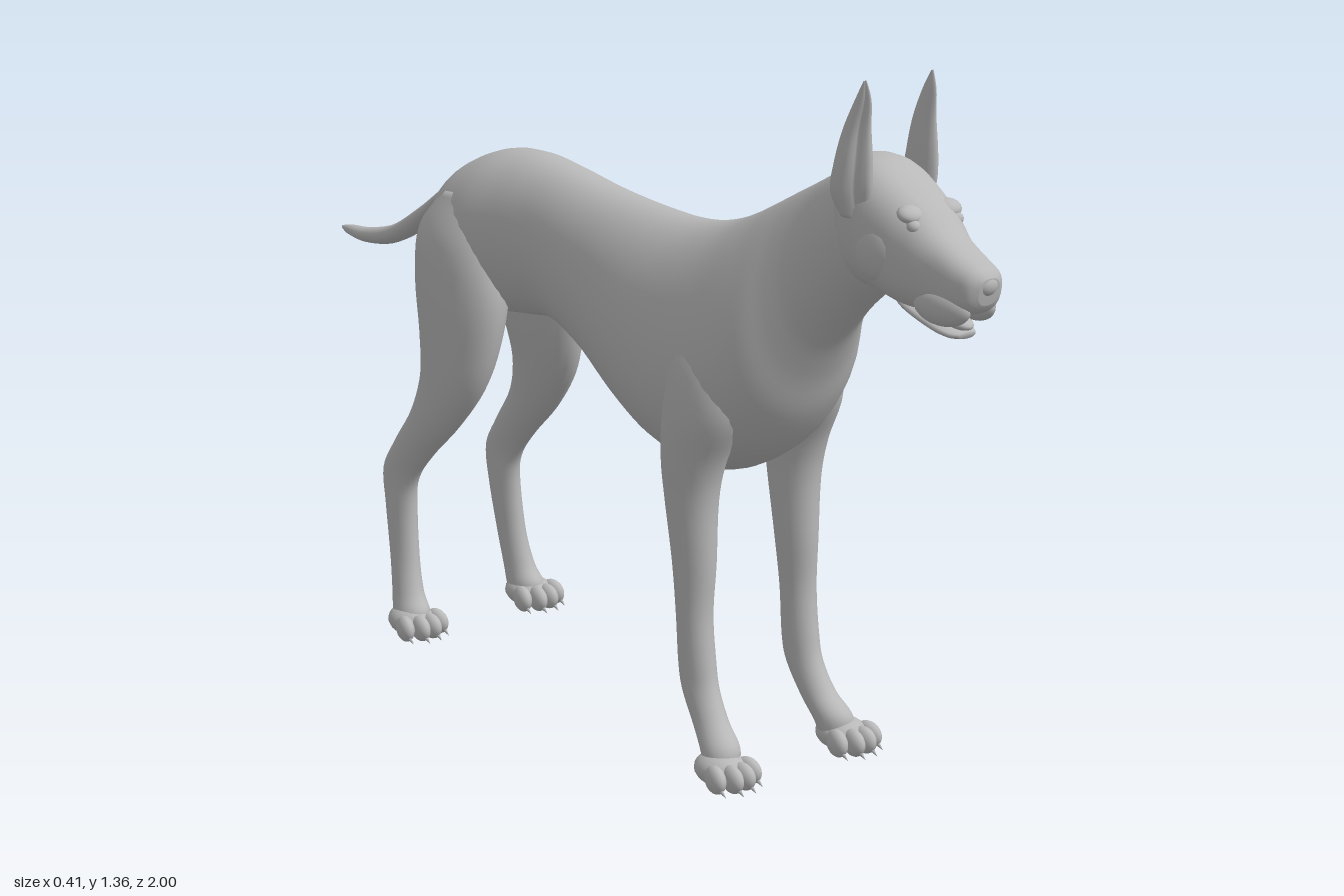
import * as THREE from 'three';

const coat = new THREE.MeshStandardMaterial({ color: 0xb8b8b8 });
coat.name = 'plain grey';

// Smooth skin through oblique oval sections.
// Section: [z, y of one edge, z, y of opposite edge, centre x, half width, skew]
// Positive skew narrows the first edge; square < 1 makes the oval boxier; dent hollows one side.
function loft(name, sections, { side = 1, n = 28, sub = 5, square = 1, dent = 0, dentAngle = 0 } = {}) {
  const at = (i, k) => sections[Math.min(Math.max(i, 0), sections.length - 1)][k] ?? 0;
  const pos = [], idx = [];
  const rows = (sections.length - 1) * sub + 1;
  const pow = v => Math.sign(v) * Math.abs(v) ** square;
  for (let r = 0; r < rows; r++) {
    const i = Math.min(Math.floor(r / sub), sections.length - 2), t = r / sub - i;
    const [za, ya, zb, yb, cx, w, skew] = [0, 1, 2, 3, 4, 5, 6].map(k => {
      const p0 = at(i - 1, k), p1 = at(i, k), p2 = at(i + 1, k), p3 = at(i + 2, k);
      return 0.5 * (2 * p1 + (p2 - p0) * t + (2 * p0 - 5 * p1 + 4 * p2 - p3) * t * t
        + (3 * p1 - p0 - 3 * p2 + p3) * t * t * t);
    });
    for (let j = 0; j < n; j++) {
      const a = j / n * Math.PI * 2;
      const d = 1 - dent * Math.max(0, Math.cos(a - dentAngle)) ** 3;
      const c = pow(Math.cos(a)) * d, s = pow(Math.sin(a)) * d;
      pos.push(side * (cx + w * s * (1 - skew * c)),
        (ya + yb) / 2 + (ya - yb) / 2 * c, (za + zb) / 2 + (za - zb) / 2 * c);
    }
  }
  for (let r = 0; r < rows - 1; r++) for (let j = 0; j < n; j++) {
    const a = r * n + j, b = r * n + (j + 1) % n;
    idx.push(a, b, a + n, b, b + n, a + n);
  }
  // End caps
  for (const [row, flip] of [[0, true], [rows - 1, false]]) {
    const c = pos.length / 3, mid = [0, 0, 0];
    for (let j = 0; j < n; j++) for (let k = 0; k < 3; k++) mid[k] += pos[(row * n + j) * 3 + k] / n;
    pos.push(...mid);
    for (let j = 0; j < n; j++) {
      const a = row * n + j, b = row * n + (j + 1) % n;
      idx.push(...(flip ? [b, a, c] : [a, b, c]));
    }
  }
  // Turn the faces outward whichever way the sections run
  const v = i => new THREE.Vector3().fromArray(pos, i * 3);
  let volume = 0;
  for (let i = 0; i < idx.length; i += 3) volume += v(idx[i]).dot(v(idx[i + 1]).cross(v(idx[i + 2])));
  if (volume < 0) idx.reverse();
  const g = new THREE.BufferGeometry();
  g.setAttribute('position', new THREE.Float32BufferAttribute(pos, 3));
  g.setIndex(idx);
  g.computeVertexNormals();
  const m = new THREE.Mesh(g, coat);
  m.name = name;
  return m;
}

function ball(name, x, y, z, rx, ry, rz, tiltX = 0, tiltY = 0) {
  const m = new THREE.Mesh(new THREE.SphereGeometry(1, 20, 14), coat);
  m.position.set(x, y, z);
  m.scale.set(rx, ry, rz);
  m.rotation.set(tiltX, tiltY, 0);
  m.name = name;
  return m;
}

// Paw with four toes and claws; z is the middle of the pad
function paw(name, side, x, z) {
  const g = new THREE.Group();
  g.name = name;
  g.add(ball('pad', side * x, 0.032, z, 0.046, 0.032, 0.055));
  for (let i = 0; i < 4; i++) {
    const u = i - 1.5, reach = Math.abs(u) > 1 ? 0.033 : 0.05;
    const tx = side * x + u * 0.026;
    g.add(ball('toe', tx, 0.029, z + reach, 0.0165, 0.026, 0.03, 0.15, u * 0.12));
    const claw = new THREE.Mesh(new THREE.ConeGeometry(0.007, 0.028, 8), coat);
    claw.position.set(tx + u * 0.003, 0.013, z + reach + 0.025);
    claw.rotation.x = 2.1;
    claw.name = 'claw';
    g.add(claw);
  }
  return g;
}

export function createModel() {
  const dog = new THREE.Group();
  dog.name = 'dog';

  // Trunk and neck: back edge, belly edge
  dog.add(loft('body', [
    [-0.555, 0.88, -0.555, 0.80, 0, 0.02], [-0.543, 0.94, -0.545, 0.74, 0, 0.085],
    [-0.50, 0.985, -0.50, 0.70, 0, 0.125], [-0.40, 1.028, -0.40, 0.70, 0, 0.135],
    [-0.30, 1.04, -0.30, 0.712, 0, 0.12], [-0.20, 1.033, -0.20, 0.72, 0, 0.108],
    [-0.05, 1.013, -0.07, 0.677, 0, 0.117, 0.05], [0.10, 1.003, 0.08, 0.597, 0, 0.14, 0.1],
    [0.22, 1.005, 0.20, 0.555, 0, 0.155, 0.14], [0.32, 1.025, 0.33, 0.55, 0, 0.165, 0.18],
    [0.40, 1.057, 0.44, 0.605, 0, 0.162, 0.22], [0.46, 1.088, 0.515, 0.69, 0, 0.142, 0.22],
    [0.51, 1.115, 0.56, 0.78, 0, 0.115, 0.18], [0.57, 1.147, 0.605, 0.855, 0, 0.092, 0.1],
    [0.63, 1.18, 0.665, 0.92, 0, 0.082], [0.68, 1.205, 0.73, 0.975, 0, 0.078],
    [0.71, 1.18, 0.76, 1.0, 0, 0.05],
  ], { n: 40 }));

  // Tail
  dog.add(loft('tail', [
    [-0.44, 1.0, -0.48, 0.93, 0, 0.03], [-0.53, 0.968, -0.555, 0.905, 0, 0.032],
    [-0.60, 0.918, -0.625, 0.865, 0, 0.028], [-0.70, 0.853, -0.715, 0.797, 0, 0.027],
    [-0.80, 0.797, -0.81, 0.753, 0, 0.024], [-0.90, 0.77, -0.905, 0.737, 0, 0.019],
    [-0.97, 0.762, -0.97, 0.74, 0, 0.012], [-1.0, 0.755, -1.0, 0.748, 0, 0.004],
  ], { n: 16 }));

  // Head
  const head = new THREE.Group();
  head.name = 'head';
  dog.add(head);
  head.add(loft('skull and muzzle', [
    [0.645, 1.17, 0.67, 1.03, 0, 0.05], [0.67, 1.212, 0.70, 0.99, 0, 0.08],
    [0.735, 1.214, 0.75, 0.985, 0, 0.09], [0.80, 1.183, 0.81, 0.973, 0, 0.084],
    [0.855, 1.148, 0.85, 0.97, 0, 0.071], [0.90, 1.11, 0.895, 0.975, 0, 0.057],
    [0.95, 1.083, 0.94, 0.98, 0, 0.05], [0.983, 1.068, 0.973, 0.988, 0, 0.041],
    [0.997, 1.052, 0.988, 1.005, 0, 0.022],
  ], { square: 0.8 }));
  head.add(loft('lower jaw', [
    [0.77, 1.0, 0.78, 0.98, 0, 0.03], [0.82, 0.99, 0.82, 0.962, 0, 0.044],
    [0.88, 0.968, 0.88, 0.941, 0, 0.04], [0.92, 0.955, 0.92, 0.934, 0, 0.034],
    [0.943, 0.948, 0.94, 0.936, 0, 0.018],
  ], { n: 16 }));
  head.add(ball('nose', 0, 1.04, 0.982, 0.024, 0.021, 0.018));
  head.add(ball('tongue', 0, 0.963, 0.915, 0.022, 0.012, 0.035, 0.2));

  for (const side of [1, -1]) {
    const label = side > 0 ? 'left ' : 'right ';
    // Face
    head.add(ball(label + 'upper lip', side * 0.036, 0.992, 0.915, 0.023, 0.033, 0.06, 0, side * -0.15));
    head.add(ball(label + 'brow', side * 0.043, 1.14, 0.838, 0.026, 0.014, 0.022, 0.4));
    head.add(ball(label + 'eye', side * 0.049, 1.122, 0.853, 0.013, 0.012, 0.013));
    head.add(ball(label + 'cheek', side * 0.06, 1.07, 0.775, 0.032, 0.06, 0.06));

    // Upright pointed ear, hollow toward the front and outside
    head.add(loft(label + 'ear', [
      [0.765, 1.12, 0.70, 1.12, 0.075, 0.02], [0.778, 1.17, 0.682, 1.16, 0.083, 0.025],
      [0.778, 1.22, 0.69, 1.21, 0.083, 0.024], [0.772, 1.28, 0.705, 1.27, 0.08, 0.016],
      [0.77, 1.33, 0.73, 1.325, 0.077, 0.008], [0.757, 1.363, 0.75, 1.36, 0.077, 0.002],
    ], { side, n: 20, dent: 0.6, dentAngle: 0.7 }));

    // Foreleg: front edge, back edge
    dog.add(loft(label + 'foreleg', [
      [0.41, 0.90, 0.33, 0.90, 0.085, 0.02], [0.455, 0.80, 0.29, 0.81, 0.105, 0.06],
      [0.465, 0.70, 0.28, 0.70, 0.115, 0.066], [0.42, 0.60, 0.28, 0.60, 0.122, 0.055],
      [0.402, 0.52, 0.288, 0.52, 0.123, 0.046], [0.40, 0.40, 0.307, 0.40, 0.123, 0.038],
      [0.396, 0.30, 0.32, 0.30, 0.125, 0.033], [0.407, 0.21, 0.327, 0.20, 0.125, 0.032],
      [0.42, 0.16, 0.34, 0.15, 0.126, 0.031], [0.45, 0.11, 0.382, 0.09, 0.13, 0.032],
      [0.49, 0.07, 0.415, 0.05, 0.137, 0.036], [0.49, 0.025, 0.43, 0.012, 0.142, 0.034],
    ], { side, n: 24 }));
    dog.add(ball(label + 'wrist pad', side * 0.127, 0.172, 0.34, 0.013, 0.018, 0.013));
    dog.add(paw(label + 'front paw', side, 0.147, 0.465));

    // Hind leg: front edge, back edge
    dog.add(loft(label + 'hind leg', [
      [-0.36, 0.96, -0.50, 0.94, 0.065, 0.045], [-0.325, 0.86, -0.548, 0.87, 0.085, 0.07],
      [-0.302, 0.75, -0.556, 0.77, 0.093, 0.072], [-0.315, 0.64, -0.536, 0.66, 0.103, 0.061],
      [-0.35, 0.55, -0.524, 0.57, 0.114, 0.05], [-0.42, 0.463, -0.55, 0.485, 0.123, 0.04],
      [-0.50, 0.388, -0.61, 0.405, 0.127, 0.032], [-0.548, 0.33, -0.655, 0.335, 0.129, 0.027],
      [-0.56, 0.27, -0.645, 0.26, 0.13, 0.027], [-0.55, 0.16, -0.622, 0.155, 0.135, 0.027],
      [-0.53, 0.09, -0.605, 0.08, 0.141, 0.03], [-0.505, 0.055, -0.595, 0.035, 0.145, 0.035],
      [-0.51, 0.02, -0.58, 0.012, 0.146, 0.033],
    ], { side, n: 24 }));
    dog.add(paw(label + 'hind paw', side, 0.148, -0.545));
  }
  return dog;
}
